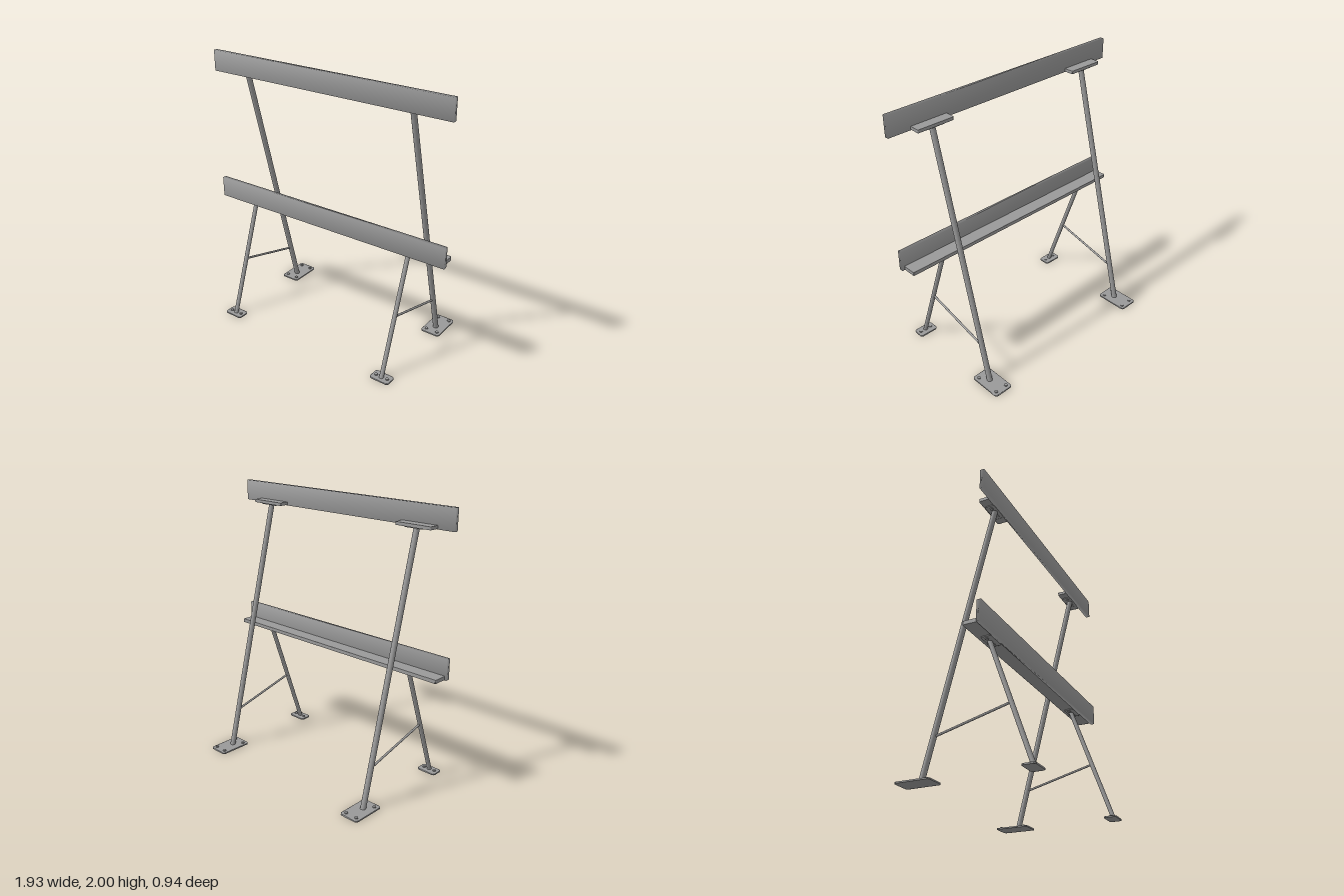
import * as THREE from 'three';
import { mergeVertices } from 'three/addons/utils/BufferGeometryUtils.js';

const steel = new THREE.MeshStandardMaterial({ color: 0x999999 });
steel.name = 'grey steel';

function add(parent, name, geometry, x = 0, y = 0, z = 0) {
  const mesh = new THREE.Mesh(geometry, steel);
  mesh.name = name;
  mesh.position.set(x, y, z);
  parent.add(mesh);
  return mesh;
}

// Share corner vertices so the shading runs softly over the edges
function soften(geometry) {
  geometry.deleteAttribute('uv');
  geometry.deleteAttribute('normal');
  const merged = mergeVertices(geometry, 1e-4);
  merged.computeVertexNormals();
  return merged;
}

// Flat plate with rounded corners, lying on y = 0
function plate(width, depth, height, r) {
  const w = width / 2, d = depth / 2;
  const s = new THREE.Shape();
  s.moveTo(-w + r, -d);
  s.lineTo(w - r, -d);
  s.absarc(w - r, -d + r, r, -Math.PI / 2, 0);
  s.lineTo(w, d - r);
  s.absarc(w - r, d - r, r, 0, Math.PI / 2);
  s.lineTo(-w + r, d);
  s.absarc(-w + r, d - r, r, Math.PI / 2, Math.PI);
  s.lineTo(-w, -d + r);
  s.absarc(-w + r, -d + r, r, Math.PI, Math.PI * 1.5);
  const g = new THREE.ExtrudeGeometry(s, { depth: height, bevelEnabled: false, curveSegments: 4 });
  g.rotateX(-Math.PI / 2);
  return soften(g);
}

// Round bar between two points given as [y, z]
function bar(parent, name, a, b, radius) {
  const from = new THREE.Vector3(0, ...a), to = new THREE.Vector3(0, ...b);
  const dir = to.clone().sub(from);
  const mesh = add(parent, name, new THREE.CylinderGeometry(radius, radius, dir.length(), 20));
  mesh.position.copy(from).add(to).multiplyScalar(0.5);
  mesh.quaternion.setFromUnitVectors(new THREE.Vector3(0, 1, 0), dir.normalize());
}

function bolts(parent, name, y, zs) {
  for (const x of [-0.045, 0.045])
    for (const z of zs)
      add(parent, name, new THREE.CylinderGeometry(0.012, 0.012, 0.01, 12), x, y, z);
}

function createFrame() {
  const frame = new THREE.Group();
  frame.name = 'sideFrame';

  // Feet with bolts
  add(frame, 'rearFoot', plate(0.15, 0.252, 0.01, 0.02), 0, 0, -0.346);
  bolts(frame, 'rearFootBolt', 0.013, [-0.44, -0.255]);
  add(frame, 'frontFoot', plate(0.15, 0.092, 0.01, 0.02), 0, 0, 0.426);
  bolts(frame, 'frontFootBolt', 0.013, [0.428]);

  // Legs and cross brace
  bar(frame, 'rearLeg', [0.006, -0.32], [1.855, 0.153], 0.02);
  bar(frame, 'frontLeg', [0.006, 0.432], [0.87, 0.13], 0.016);
  bar(frame, 'brace', [0.425, 0.28], [0.29, -0.235], 0.008);

  // Flanges under the rails
  add(frame, 'upperFlange', plate(0.15, 0.07, 0.008, 0.015), 0, 1.848, 0.148);
  bolts(frame, 'upperFlangeBolt', 1.847, [0.15]);
  add(frame, 'lowerFlange', plate(0.15, 0.075, 0.008, 0.015), 0, 0.862, 0.14);
  bolts(frame, 'lowerFlangeBolt', 0.861, [0.135]);

  // Short shelf carrying the upper board
  add(frame, 'upperShelf', plate(0.28, 0.08, 0.022, 0.008), -0.001, 1.854, 0.145);
  return frame;
}

export function createModel() {
  const model = new THREE.Group();
  model.name = 'railStand';

  for (const x of [-0.698, 0.66]) {
    const frame = createFrame();
    frame.position.x = x;
    model.add(frame);
  }

  // Upright boards
  const board = soften(new THREE.BoxGeometry(1.934, 0.15, 0.03));
  add(model, 'upperBoard', board, 0, 1.925, 0.194);
  add(model, 'lowerBoard', board, 0, 0.939, 0.194);

  // Long ledge behind the lower board
  add(model, 'lowerLedge', plate(1.904, 0.105, 0.026, 0.008), -0.003, 0.868, 0.13);
  return model;
}
